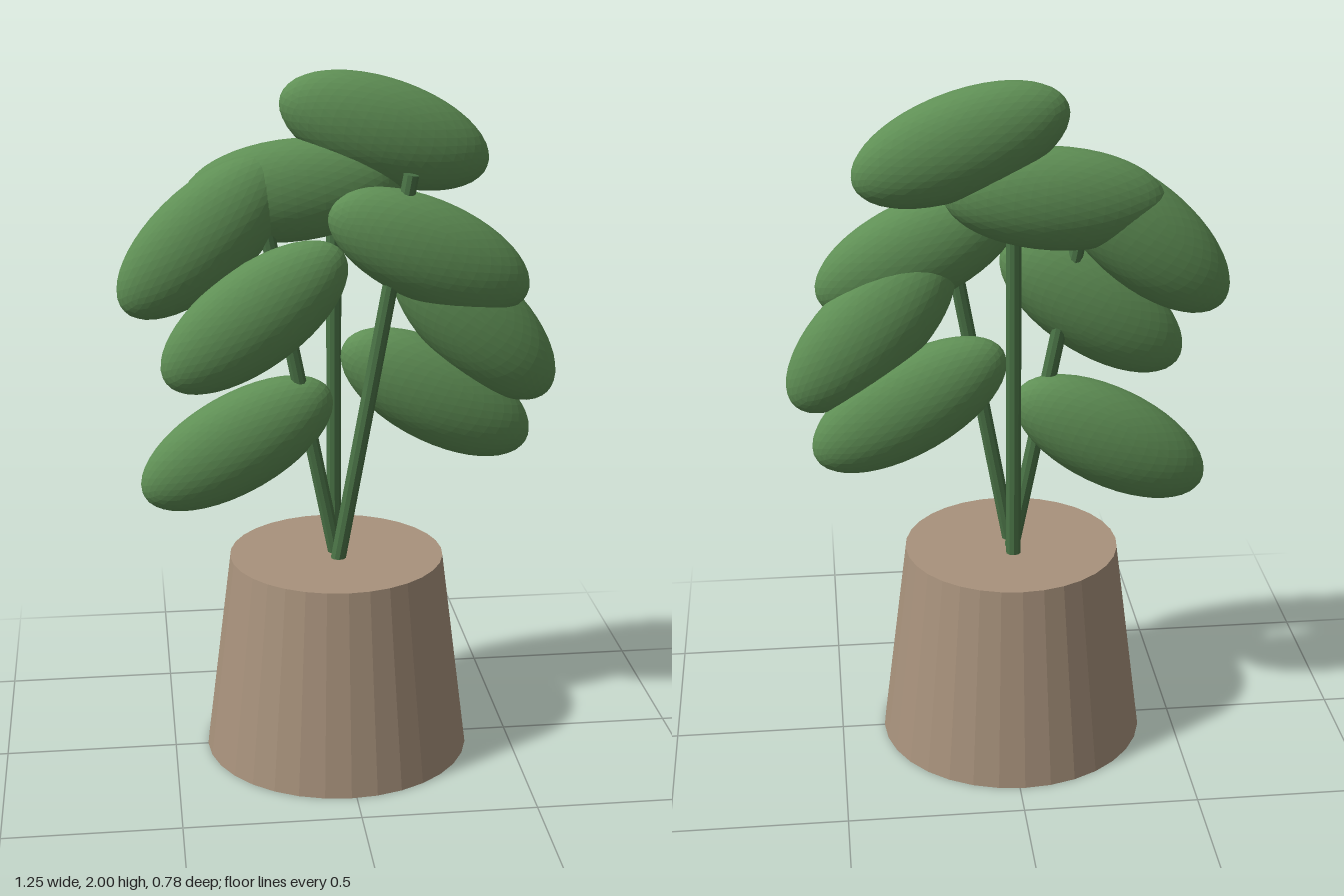
import * as THREE from 'three';

const material = (color) => new THREE.MeshStandardMaterial({ color, flatShading: true });

export function createModel() {
  const model = new THREE.Group();
  model.name = 'pottedPlant';
  const potMat = material(0xa8927c);
  const stemMat = material(0x4a7346);
  const leafMat = material(0x5f8f55);
  const POT_X = -0.015, POT_H = 0.6;

  // Solid pot, wider at the base
  const pot = new THREE.Mesh(new THREE.CylinderGeometry(0.312, 0.388, POT_H, 32), potMat);
  pot.name = 'pot';
  pot.position.set(POT_X, POT_H / 2, 0);
  model.add(pot);

  // Stems: straight rods fanning out from the pot top [tip x, tip y, z]
  const up = new THREE.Vector3(0, 1, 0);
  const stems = new THREE.Group();
  stems.name = 'stems';
  for (const [x, y, z] of [[0.19, 1.725, 0.04], [-0.215, 1.6, -0.01], [POT_X, 1.56, -0.06]]) {
    const base = new THREE.Vector3(POT_X, POT_H - 0.01, z);
    const tip = new THREE.Vector3(x, y, z);
    const dir = tip.clone().sub(base);
    const stem = new THREE.Mesh(new THREE.CylinderGeometry(0.022, 0.022, dir.length(), 10), stemMat);
    stem.name = 'stem';
    stem.position.copy(base).lerp(tip, 0.5);
    stem.quaternion.setFromUnitVectors(up, dir.normalize());
    stems.add(stem);
  }
  model.add(stems);

  // Leaves: identical flattened ellipsoids [x, y, z, tilt in degrees]
  const leafGeo = new THREE.IcosahedronGeometry(1, 7).scale(0.31, 0.145, 0.102);
  const leaves = new THREE.Group();
  leaves.name = 'leaves';
  for (const [x, y, z, tilt] of [
    [0.13, 1.83, -0.065, -19.5],
    [-0.13, 1.67, -0.055, 5],
    [-0.38, 1.55, -0.03, 42],
    [-0.25, 1.33, 0.04, 36],
    [-0.3, 0.94, -0.025, 29.5],
    [0.246, 1.505, 0.027, -25],
    [0.383, 1.29, -0.01, -45],
    [0.28, 1.07, -0.037, -30],
  ]) {
    const leaf = new THREE.Mesh(leafGeo, leafMat);
    leaf.name = 'leaf';
    leaf.position.set(x, y, z);
    leaf.rotation.z = THREE.MathUtils.degToRad(tilt);
    leaves.add(leaf);
  }
  model.add(leaves);

  return model;
}
